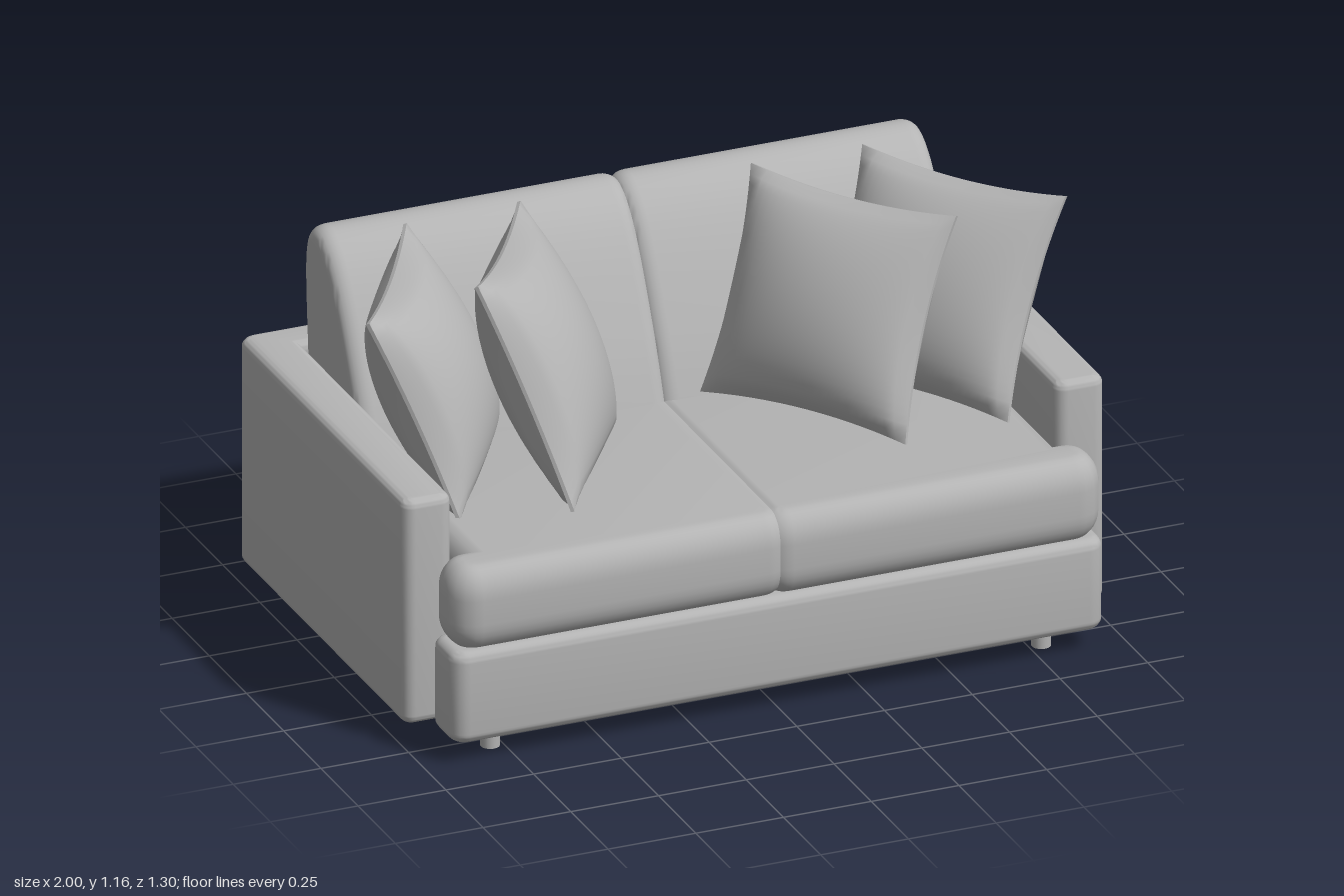
import * as THREE from 'three';
import { toCreasedNormals } from 'three/addons/utils/BufferGeometryUtils.js';

const fabric = new THREE.MeshStandardMaterial({ color: 0xb4b4b4 });
fabric.name = 'grey fabric';

// Closed outline from [x, y, radius] corners; radius 0 keeps a corner sharp
function roundedShape(points) {
  const shape = new THREE.Shape();
  const n = points.length;
  points.forEach(([x, y, r], i) => {
    const p = new THREE.Vector2(x, y);
    const toward = ([qx, qy]) => new THREE.Vector2(qx, qy).sub(p).setLength(r).add(p);
    const a = r ? toward(points[(i + n - 1) % n]) : p;
    const b = r ? toward(points[(i + 1) % n]) : p;
    if (i === 0) shape.moveTo(a.x, a.y); else shape.lineTo(a.x, a.y);
    if (r) shape.quadraticCurveTo(p.x, p.y, b.x, b.y);
  });
  shape.closePath();
  return shape;
}

// Plan outline in (x, z), raised from y0 to y1 with a soft edge growing outwards
function upholstered(plan, y0, y1, edge, edgeHeight) {
  const shape = roundedShape(plan.map(([x, z, r]) => [x, -z, r]));
  const geo = new THREE.ExtrudeGeometry(shape, {
    depth: y1 - y0 - 2 * edgeHeight, curveSegments: 5,
    bevelSize: edge, bevelThickness: edgeHeight, bevelSegments: 7,
  });
  geo.rotateX(-Math.PI / 2).translate(0, y0 + edgeHeight, 0);
  return toCreasedNormals(geo, 0.7);
}

// Back cushion: leaning side profile in (z, y), extruded along x
function backCushion(x0, x1) {
  const profile = [[-0.09, 0.45], [-0.13, 0.57], [-0.19, 0.72], [-0.29, 0.92], [-0.37, 1.03],
    [-0.45, 1.075], [-0.52, 1.05], [-0.548, 0.95], [-0.535, 0.71], [-0.51, 0.45]];
  const curve = new THREE.SplineCurve(profile.map(([z, y]) => new THREE.Vector2(-z, y)));
  const bevel = 0.045;
  const geo = new THREE.ExtrudeGeometry(new THREE.Shape(curve.getPoints(45)), {
    depth: x1 - x0 - 2 * bevel, bevelSize: 0.035, bevelOffset: -0.035,
    bevelThickness: bevel, bevelSegments: 6,
  });
  geo.rotateY(Math.PI / 2).translate(x0 + bevel, 0, 0);
  return toCreasedNormals(geo, 0.7);
}

// Throw pillow spanned by three corners, puffed in the middle, pulled in along its edges
function pillow(topLeft, topRight, bottomLeft) {
  const tl = new THREE.Vector3(...topLeft);
  const halfU = new THREE.Vector3(...topRight).sub(tl).multiplyScalar(0.5);
  const halfV = tl.clone().sub(new THREE.Vector3(...bottomLeft)).multiplyScalar(0.5);
  const centre = tl.clone().add(halfU).sub(halfV);
  const normal = halfU.clone().cross(halfV).normalize();
  const geo = new THREE.BoxGeometry(2, 2, 2, 24, 24, 1);
  const pos = geo.attributes.position;
  const p = new THREE.Vector3();
  for (let i = 0; i < pos.count; i++) {
    const u = pos.getX(i), v = pos.getY(i), side = pos.getZ(i);
    const puff = Math.max(0, (1 - u * u) * (1 - v * v));
    const thick = 0.005 + 0.13 * Math.pow(puff, 0.55);
    p.copy(centre)
      .addScaledVector(halfU, u * (1 - 0.08 * (1 - v * v)))
      .addScaledVector(halfV, v * (1 - 0.08 * (1 - u * u)))
      .addScaledVector(normal, side * thick);
    pos.setXYZ(i, p.x, p.y, p.z);
  }
  geo.computeVertexNormals();
  return geo;
}

export function createModel() {
  const model = new THREE.Group();
  const add = (name, geometry) => {
    const mesh = new THREE.Mesh(geometry, fabric);
    mesh.name = name;
    model.add(mesh);
    return mesh;
  };

  // U-shaped frame: both arms and the back
  add('armsAndBack', upholstered([
    [-0.975, 0.445, 0.01], [-0.885, 0.445, 0.01], [-0.885, -0.565, 0], [0.885, -0.565, 0],
    [0.885, 0.445, 0.01], [0.975, 0.445, 0.01], [0.975, -0.63, 0.02], [-0.975, -0.63, 0.02],
  ], 0.06, 0.71, 0.025, 0.025));

  // Base, widening in front of the arms
  add('base', upholstered([
    [-0.9, 0.61, 0.02], [0.9, 0.61, 0.02], [0.9, 0.505, 0.02], [0.83, 0.505, 0],
    [0.83, -0.53, 0], [-0.83, -0.53, 0], [-0.83, 0.505, 0], [-0.9, 0.505, 0.02],
  ], 0.06, 0.325, 0.03, 0.03));

  // Seat cushions, each wrapping round the front of its arm
  for (const s of [-1, 1]) {
    const plan = [
      [0.02, 0.59, 0.02], [0.87, 0.59, 0.025], [0.87, 0.535, 0.02], [0.8, 0.535, 0],
      [0.8, -0.45, 0.02], [0.02, -0.45, 0.02],
    ].map(([x, z, r]) => [s * x, z, r]);
    add(s > 0 ? 'leftSeatCushion' : 'rightSeatCushion', upholstered(plan, 0.32, 0.56, 0.06, 0.085));
  }

  // Back cushions
  add('rightBackCushion', backCushion(-0.86, 0.008));
  add('leftBackCushion', backCushion(-0.008, 0.86));

  // Throw pillows
  add('outerRightPillow', pillow([-0.99, 1.11, 0.2], [-0.65, 1.1, -0.35], [-0.78, 0.55, 0.32]));
  add('innerRightPillow', pillow([-0.68, 1.16, 0.2], [-0.33, 1.11, -0.34], [-0.49, 0.56, 0.4]));
  add('innerLeftPillow', pillow([0.3, 1.14, -0.26], [0.66, 1.15, 0.27], [0.1, 0.57, -0.13]));
  add('outerLeftPillow', pillow([0.63, 1.12, -0.29], [0.98, 1.14, 0.25], [0.41, 0.56, -0.16]));

  // Feet
  const foot = new THREE.CylinderGeometry(0.028, 0.026, 0.08, 20);
  for (const x of [-0.785, 0.785]) {
    for (const z of [-0.535, 0.54]) add('foot', foot).position.set(x, 0.04, z);
  }
  return model;
}
